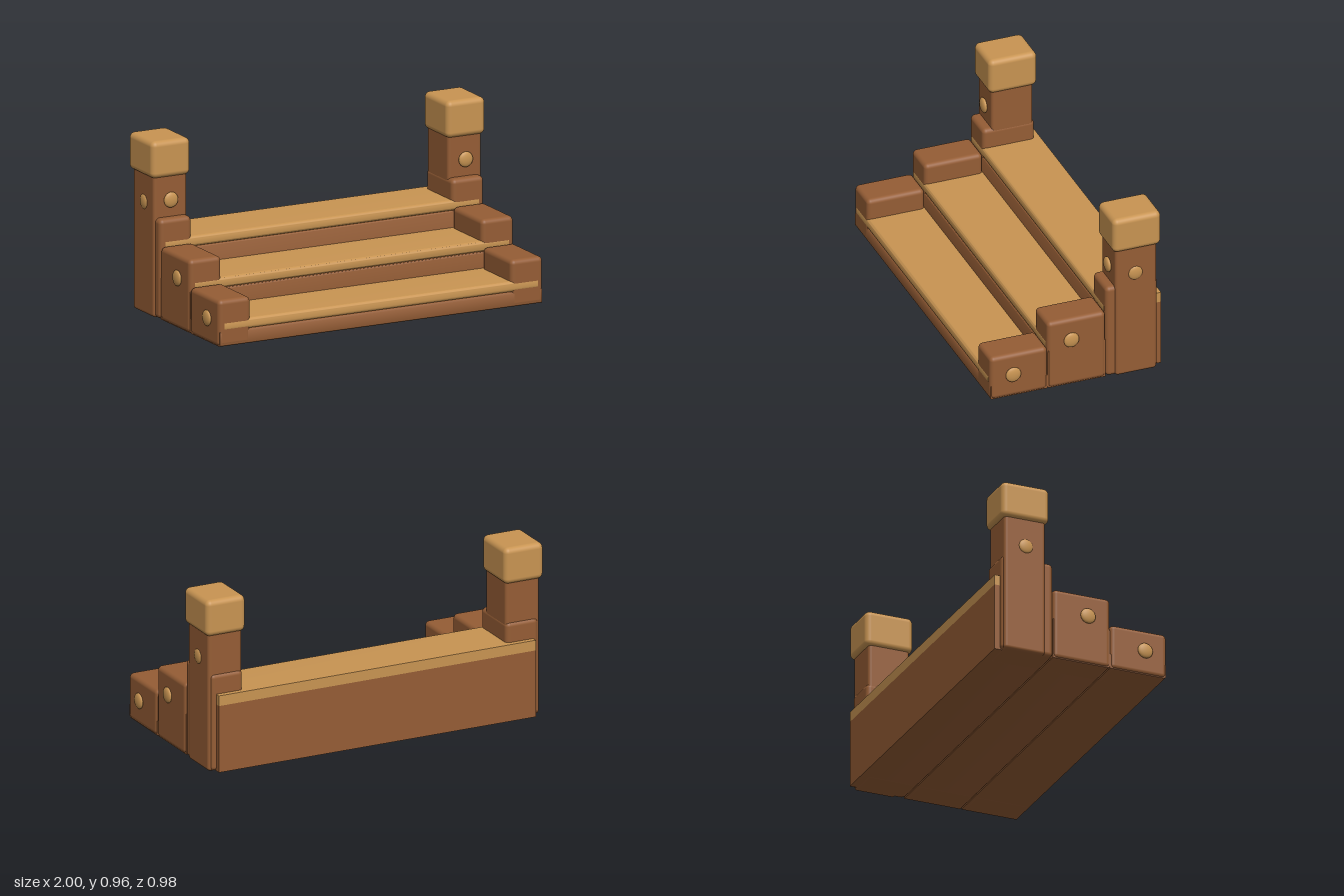
import * as THREE from 'three';
import { RoundedBoxGeometry } from 'three/addons/geometries/RoundedBoxGeometry.js';
import { toCreasedNormals } from 'three/addons/utils/BufferGeometryUtils.js';

const darkWood = new THREE.MeshStandardMaterial({ name: 'darkWood', color: 0x955d35 });
const lightWood = new THREE.MeshStandardMaterial({ name: 'lightWood', color: 0xc89452 });

function add(parent, name, geometry, material) {
  const mesh = new THREE.Mesh(geometry, material);
  mesh.name = name;
  parent.add(mesh);
  return mesh;
}

// Rounded block given by its limits on each axis
function block(parent, name, material, [x0, x1], [y0, y1], [z0, z1], radius) {
  const geometry = new RoundedBoxGeometry(x1 - x0, y1 - y0, z1 - z0, 4, radius);
  add(parent, name, geometry, material)
    .position.set((x0 + x1) / 2, (y0 + y1) / 2, (z0 + z1) / 2);
}

// Board running along x: square at the back, rounded nose at the front
function board(parent, name, material, halfWidth, [y0, y1], [z0, z1], r) {
  const s = new THREE.Shape();
  s.moveTo(z0, y0);
  s.lineTo(z1 - r, y0);
  s.absarc(z1 - r, y0 + r, r, -Math.PI / 2, 0, false);
  s.lineTo(z1, y1 - r);
  s.absarc(z1 - r, y1 - r, r, 0, Math.PI / 2, false);
  s.lineTo(z0, y1);
  s.closePath();
  const geometry = new THREE.ExtrudeGeometry(s, {
    depth: halfWidth * 2, bevelEnabled: false, curveSegments: 5,
  });
  geometry.translate(0, 0, -halfWidth).rotateY(-Math.PI / 2);
  add(parent, name, toCreasedNormals(geometry, 0.6), material);
}

// Flattened round peg head
function peg(parent, name, position, scale) {
  const mesh = add(parent, name, new THREE.SphereGeometry(1, 24, 16), lightWood);
  mesh.position.set(...position);
  mesh.scale.set(...scale);
}

export function createModel() {
  const model = new THREE.Group();
  model.name = 'steps';

  // Three steps: a solid core, a tread on top and the raised end blocks
  const steps = [
    { z: [0.165, 0.49], blockZ: [0.165, 0.49], tread: 0.14, top: 0.255, half: 0.965 },
    { z: [-0.165, 0.165], blockZ: [-0.165, 0.165], tread: 0.285, top: 0.4, half: 0.965 },
    { z: [-0.49, -0.165], blockZ: [-0.46, -0.165], tread: 0.432, top: 0.543, half: 0.94 },
  ];
  steps.forEach(({ z, blockZ, tread, top, half }, i) => {
    const step = new THREE.Group();
    step.name = `step${i + 1}`;
    model.add(step);
    board(step, 'riser', darkWood, half, [0.002, tread - 0.057], [z[0], z[1] - 0.001], 0.012);
    board(step, 'tread', lightWood, 0.94, [tread - 0.057, tread], [z[0], z[1] + 0.001], 0.018);
    for (const side of [-1, 1]) {
      const x = side > 0 ? [0.78, 0.972] : [-0.972, -0.78];
      block(step, 'endBlock', darkWood, x, [0, top], blockZ, 0.025);
    }
  });

  // Posts with caps, and the peg heads on either side
  for (const side of [-1, 1]) {
    const span = (a, b) => (side > 0 ? [a, b] : [-b, -a]);
    const post = new THREE.Group();
    post.name = side > 0 ? 'leftPost' : 'rightPost';
    model.add(post);
    block(post, 'postShaft', darkWood, span(0.782, 0.982), [0, 0.79], [-0.45, -0.215], 0.018);
    block(post, 'postCap', lightWood, span(0.768, 1), [0.76, 0.962], [-0.47, -0.197], 0.03);
    peg(post, 'postFrontPeg', [side * 0.883, 0.635, -0.207], [0.042, 0.042, 0.016]);
    peg(post, 'postSidePeg', [side * 0.98, 0.61, -0.328], [0.013, 0.04, 0.04]);
    peg(model, 'lowerStepPeg', [side * 0.977, 0.135, 0.363], [0.015, 0.043, 0.043]);
    peg(model, 'middleStepPeg', [side * 0.977, 0.275, 0.033], [0.015, 0.043, 0.043]);
  }
  return model;
}
